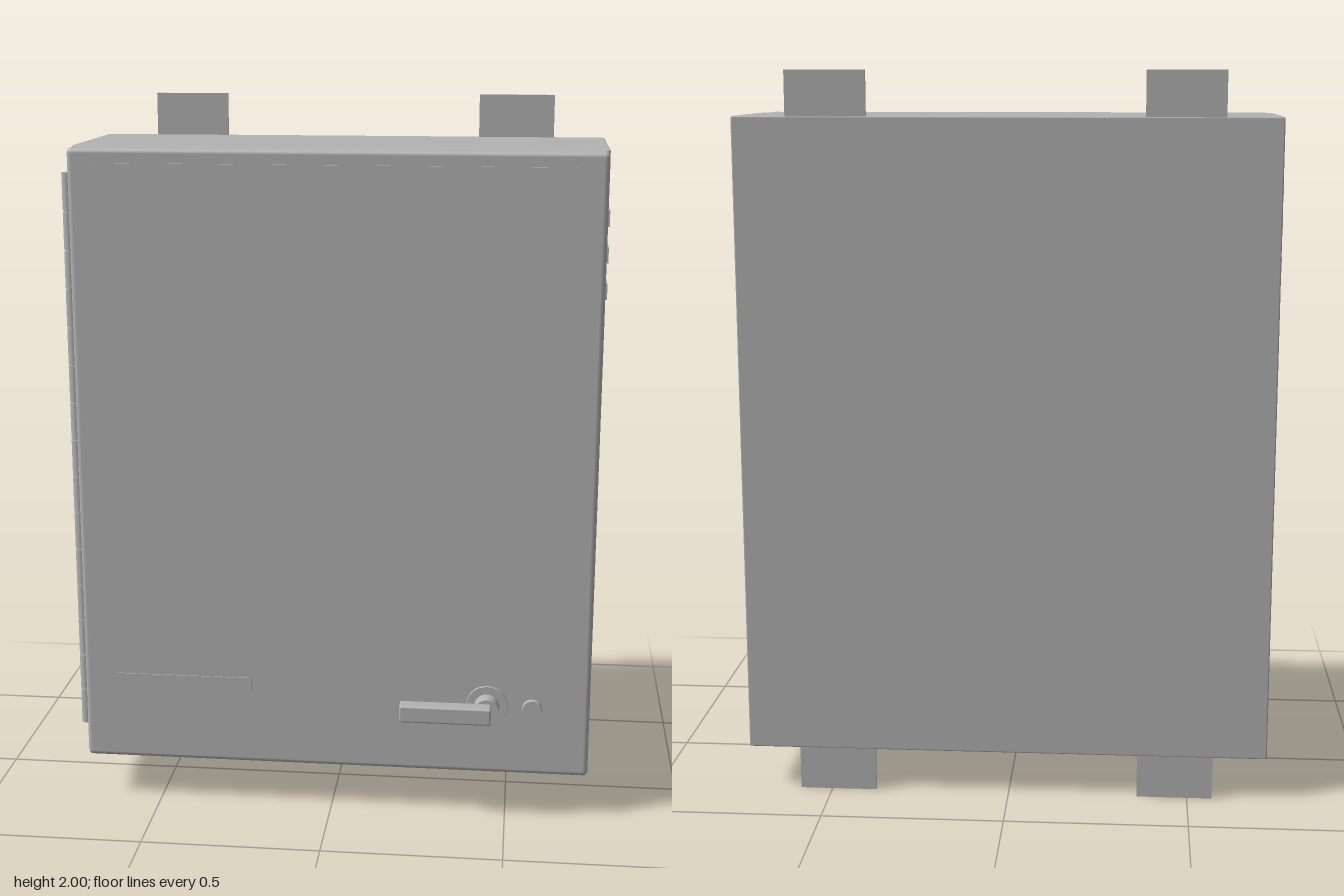
import * as THREE from 'three';
import { RoundedBoxGeometry } from 'three/addons/geometries/RoundedBoxGeometry.js';

export function createModel() {
  const model = new THREE.Group();
  model.name = 'wallCabinet';
  const steel = new THREE.MeshStandardMaterial({ color: 0xb2b2b2 });
  steel.name = 'greySteel';

  const add = (name, geometry, parent = model) => {
    const mesh = new THREE.Mesh(geometry, steel);
    mesh.name = name;
    parent.add(mesh);
    return mesh;
  };
  // box given by its limits on each axis, optionally with rounded edges
  const box = (name, [x0, x1], [y0, y1], [z0, z1], r = 0, parent = model) => {
    const size = [x1 - x0, y1 - y0, z1 - z0];
    const geometry = r ? new RoundedBoxGeometry(...size, 3, r) : new THREE.BoxGeometry(...size);
    const mesh = add(name, geometry, parent);
    mesh.position.set((x0 + x1) / 2, (y0 + y1) / 2, (z0 + z1) / 2);
    return mesh;
  };
  // disc or shaft pointing forward
  const shaft = (name, x, y, z0, z1, rBack, rFront, parent) => {
    const geometry = new THREE.CylinderGeometry(rFront, rBack, z1 - z0, 32).rotateX(Math.PI / 2);
    add(name, geometry, parent).position.set(x, y, (z0 + z1) / 2);
  };
  // thin sheet with rounded corners, facing forward
  const sheet = (name, x0, x1, y0, y1, r, z, depth) => {
    const s = new THREE.Shape();
    s.moveTo(x0 + r, y0).lineTo(x1 - r, y0);
    s.absarc(x1 - r, y0 + r, r, -Math.PI / 2, 0);
    s.absarc(x1 - r, y1 - r, r, 0, Math.PI / 2);
    s.absarc(x0 + r, y1 - r, r, Math.PI / 2, Math.PI);
    s.absarc(x0 + r, y0 + r, r, Math.PI, Math.PI * 1.5);
    add(name, new THREE.ExtrudeGeometry(s, { depth, bevelEnabled: false, curveSegments: 6 })).position.z = z;
  };

  // cabinet body, gasket and door
  box('body', [-0.72, 0.735], [0.12, 1.88], [-0.31, 0.132], 0.004);
  box('gasket', [-0.7, 0.715], [0.14, 1.86], [0.13, 0.146]);
  box('door', [-0.715, 0.732], [0.125, 1.88], [0.142, 0.216], 0.014);
  sheet('doorPanel', -0.672, 0.674, 0.535, 1.84, 0.03, 0.215, 0.005);
  sheet('namePlate', -0.62, -0.23, 0.27, 0.385, 0.004, 0.215, 0.004);

  // mounting tabs above and below the back
  for (const x of [[-0.57, -0.36], [0.375, 0.59]]) {
    box('lowerTab', x, [0, 0.14], [-0.309, -0.3]);
    box('upperTab', x, [1.86, 2], [-0.309, -0.3]);
  }

  // louvres on both sides
  for (const y of [1.465, 1.565, 1.665]) {
    box('rightLouvre', [0.73, 0.744], [y, y + 0.044], [-0.217, 0.038]);
    box('leftLouvre', [-0.728, -0.715], [y, y + 0.044], [-0.217, 0.038]);
  }

  // piano hinge
  const hinge = new THREE.Group();
  hinge.name = 'hinge';
  model.add(hinge);
  box('hingeLeaf', [-0.725, -0.715], [0.2, 1.81], [0.095, 0.145], 0, hinge);
  const knuckles = 15, pitch = 1.61 / knuckles;
  for (let i = 0; i < knuckles; i++) {
    const knuckle = add('hingeKnuckle', new THREE.CylinderGeometry(0.016, 0.016, pitch - 0.004, 20), hinge);
    knuckle.position.set(-0.731, 0.2 + (i + 0.5) * pitch, 0.146);
  }
  add('hingePin', new THREE.CylinderGeometry(0.012, 0.012, 1.606, 16), hinge).position.set(-0.731, 1.005, 0.146);

  // turning handle and key lock
  const handle = new THREE.Group();
  handle.name = 'handle';
  model.add(handle);
  shaft('handleRose', 0.443, 0.33, 0.214, 0.221, 0.06, 0.058, handle);
  shaft('handleBoss', 0.443, 0.33, 0.22, 0.262, 0.036, 0.034, handle);
  box('handleLever', [0.2, 0.456], [0.305, 0.354], [0.26, 0.306], 0.006, handle);
  shaft('keyLock', 0.57, 0.33, 0.214, 0.226, 0.022, 0.022, model);
  shaft('keyLockCap', 0.57, 0.33, 0.225, 0.237, 0.028, 0.026, model);

  return model;
}
